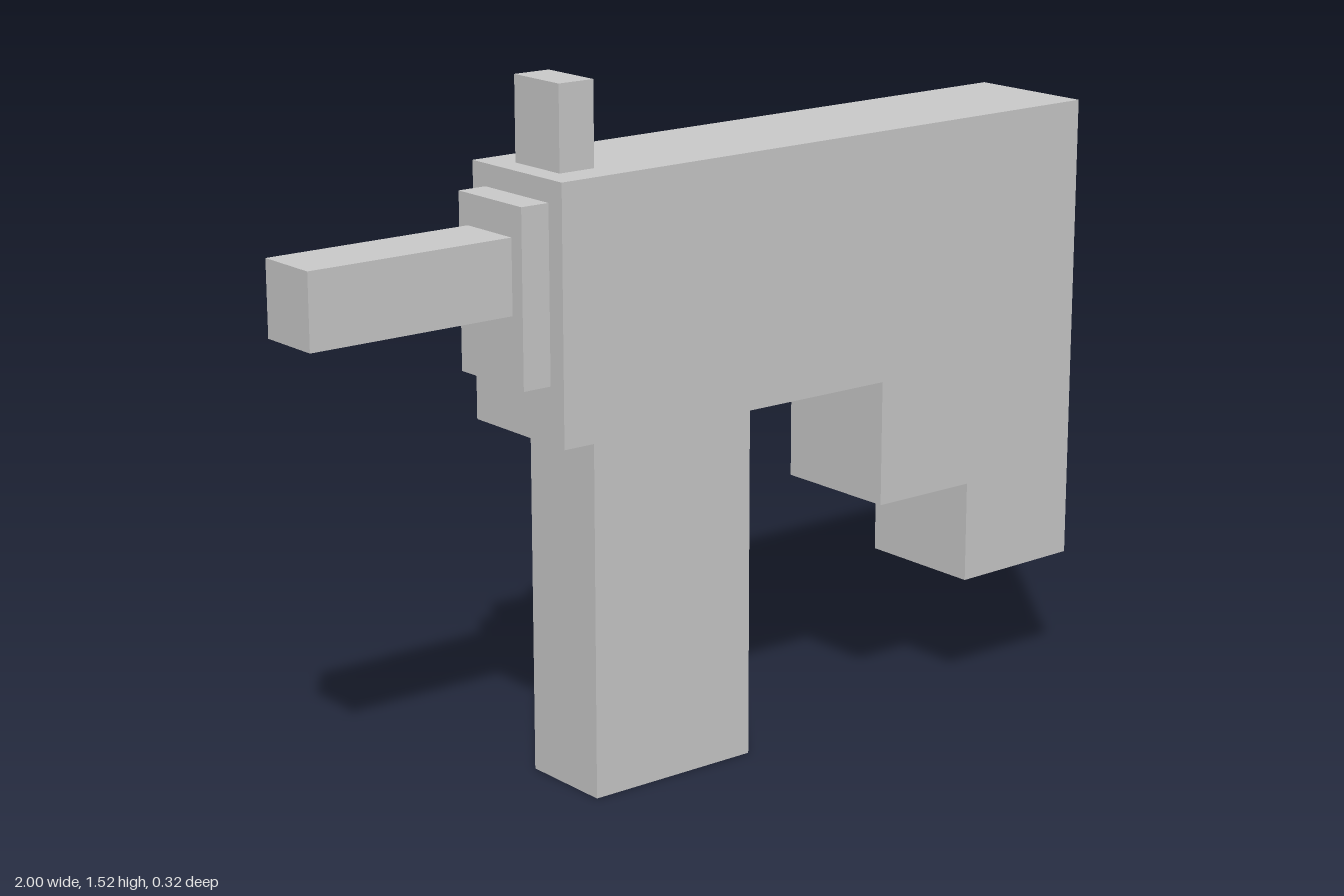
import * as THREE from 'three';

export function createModel() {
  const model = new THREE.Group();
  model.name = 'blockyToyBlaster';
  const material = new THREE.MeshStandardMaterial({ color: 0xcccccc, flatShading: true });

  const add = (name, geometry) => {
    const mesh = new THREE.Mesh(geometry, material);
    mesh.name = name;
    model.add(mesh);
  };

  // Box given by its limits in x and y, its depth and its centre in z
  const block = (name, x0, x1, y0, y1, depth, z = 0) => {
    const geometry = new THREE.BoxGeometry(x1 - x0, y1 - y0, depth);
    geometry.translate((x0 + x1) / 2, (y0 + y1) / 2, z);
    add(name, geometry);
  };

  // Receiver with the stepped rear stock, one solid outline
  const outline = new THREE.Shape([
    [-0.455, 0.793], [0.412, 0.79], [0.412, 0.509], [0.675, 0.509],
    [0.675, 0.28], [0.995, 0.284], [0.995, 1.349], [-0.455, 1.343],
  ].map(([x, y]) => new THREE.Vector2(x, y)));
  const depth = 0.304;
  const body = new THREE.ExtrudeGeometry(outline, { depth, bevelEnabled: false });
  body.translate(0, 0, -depth / 2);
  add('body', body);

  // Barrel and its collar
  block('collar', -0.522, -0.455, 0.917, 1.295, 0.215);
  block('barrel', -1, -0.522, 1.067, 1.228, 0.15, -0.002);

  // Sight on top, magazine below
  block('frontSight', -0.404, -0.317, 1.343, 1.525, 0.15, 0.002);
  block('magazine', -0.352, 0.065, 0, 0.793, 0.22, 0.005);

  // The whole piece is turned very slightly about the vertical
  model.rotation.y = -0.011;
  model.position.z = -0.0055;
  return model;
}
